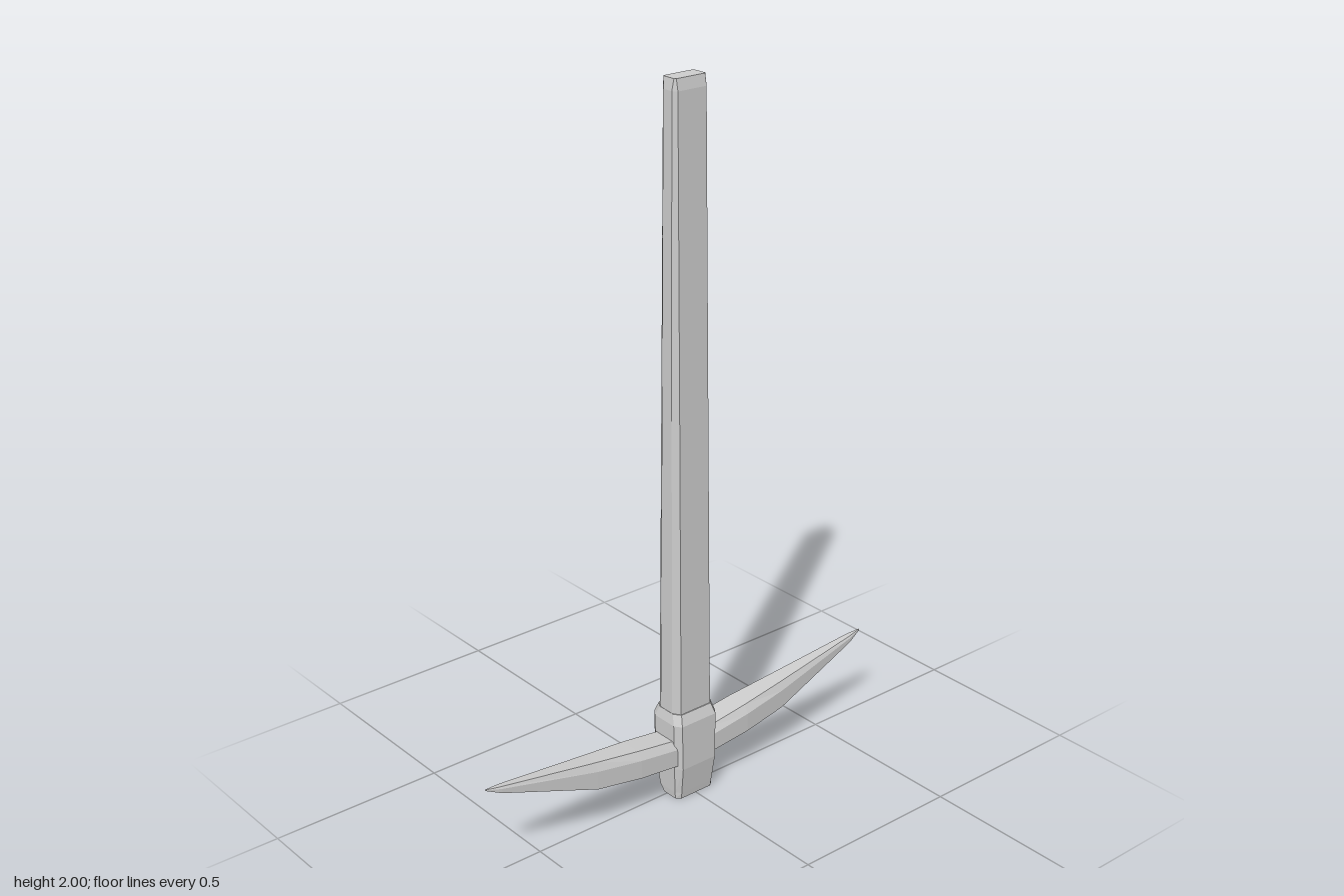
import * as THREE from 'three';

const material = new THREE.MeshStandardMaterial({ color: 0xcccccc, flatShading: true });

// Skin a series of matching rings (counter-clockwise seen from the far end) and cap both ends
function loft(name, rings) {
  const pos = [];
  const tri = (a, b, c) => pos.push(...a, ...b, ...c);
  const n = rings[0].length;
  for (let i = 0; i < rings.length - 1; i++) {
    for (let j = 0; j < n; j++) {
      const k = (j + 1) % n;
      const a = rings[i][j], b = rings[i][k], c = rings[i + 1][k], d = rings[i + 1][j];
      tri(a, b, c);
      tri(a, c, d);
    }
  }
  const first = rings[0], last = rings[rings.length - 1];
  for (let j = 1; j < n - 1; j++) {
    tri(first[0], first[j + 1], first[j]);
    tri(last[0], last[j], last[j + 1]);
  }
  const geometry = new THREE.BufferGeometry();
  geometry.setAttribute('position', new THREE.Float32BufferAttribute(pos, 3));
  geometry.computeVertexNormals();
  const mesh = new THREE.Mesh(geometry, material);
  mesh.name = name;
  return mesh;
}

// Horizontal rectangle with cut corners
function octagon(y, hx, front, back, cx, cz) {
  return [
    [hx, y, front - cz], [hx, y, back + cz],
    [hx - cx, y, back], [cx - hx, y, back],
    [-hx, y, back + cz], [-hx, y, front - cz],
    [cx - hx, y, front], [hx - cx, y, front],
  ];
}

// Upright blade section with a flat underside and softened top edges
function bladeSection(x, bottom, top, w) {
  const shoulder = bottom + (top - bottom) * 0.7, wt = w * 0.7;
  return [
    [x, top, -wt], [x, top, wt], [x, shoulder, w],
    [x, bottom, w], [x, bottom, -w], [x, shoulder, -w],
  ];
}

export function createModel() {
  const group = new THREE.Group();
  group.name = 'pickaxe';

  // Long tapering handle with a bevelled end
  group.add(loft('handle', [
    octagon(0.1, 0.066, 0.047, -0.047, 0.014, 0.022),
    octagon(1.1, 0.06, 0.037, -0.037, 0.012, 0.018),
    octagon(1.97, 0.054, 0.028, -0.028, 0.009, 0.012),
    octagon(2.0, 0.049, 0.022, -0.025, 0.004, 0.004),
  ]));

  // Socket around the handle, cut back at the lower rear edge
  group.add(loft('socket', [
    octagon(0, 0.064, 0.047, -0.022, 0.012, 0.01),
    octagon(0.02, 0.066, 0.05, -0.04, 0.013, 0.014),
    octagon(0.1, 0.071, 0.061, -0.059, 0.014, 0.02),
    octagon(0.235, 0.073, 0.06, -0.06, 0.014, 0.02),
    octagon(0.265, 0.066, 0.048, -0.048, 0.014, 0.02),
  ]));

  // Two upswept pointed blades
  for (const side of ['left', 'right']) {
    const blade = loft(side + 'Blade', [
      bladeSection(0.04, 0.108, 0.18, 0.049),
      bladeSection(0.19, 0.122, 0.2, 0.047),
      bladeSection(0.33, 0.14, 0.217, 0.036),
      bladeSection(0.62, 0.237, 0.255, 0.011),
      bladeSection(0.664, 0.257, 0.26, 0.002),
    ]);
    if (side === 'right') blade.rotation.y = Math.PI;
    group.add(blade);
  }
  return group;
}
